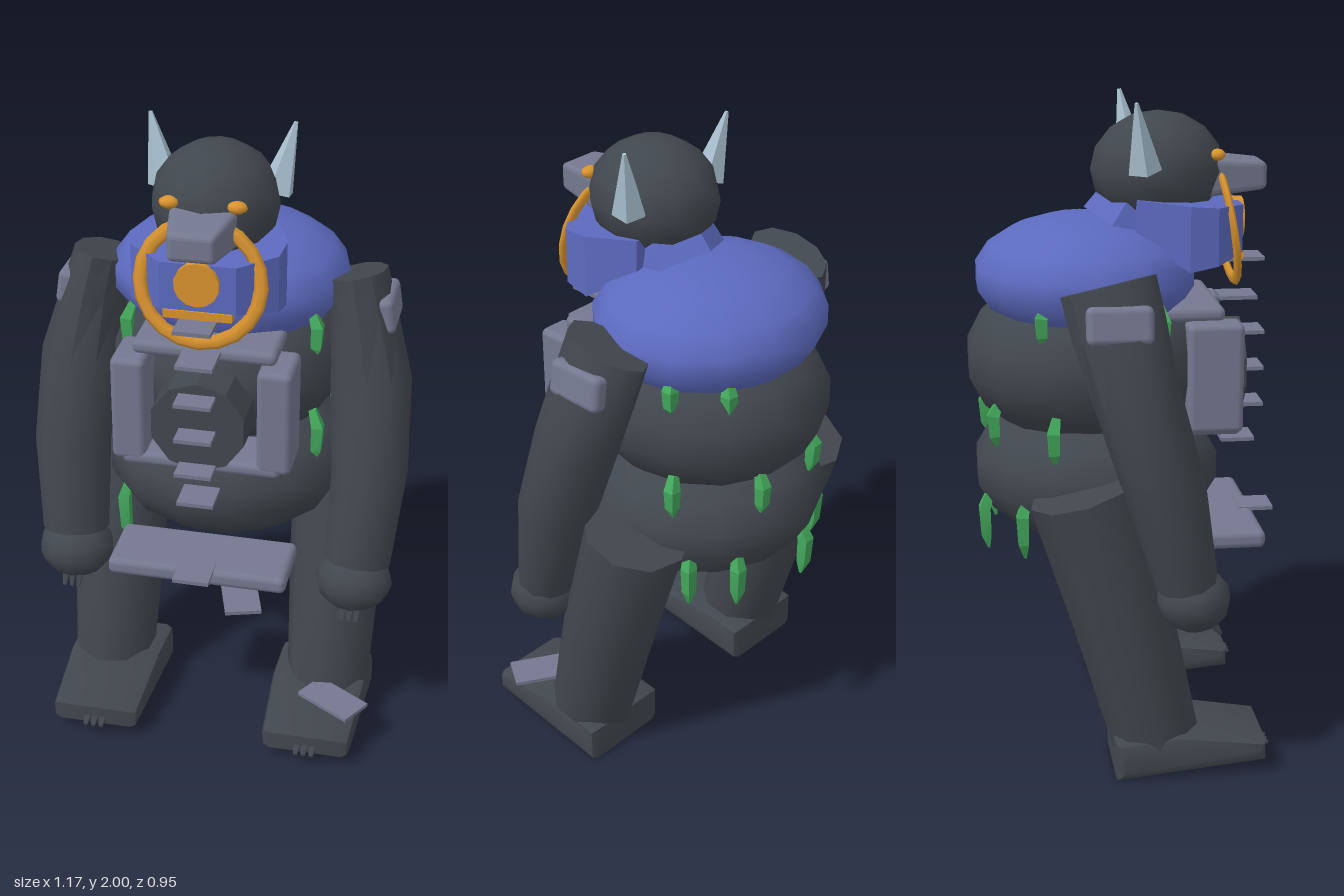
import * as THREE from 'three';
import { toCreasedNormals } from 'three/addons/utils/BufferGeometryUtils.js';
import { RoundedBoxGeometry } from 'three/addons/geometries/RoundedBoxGeometry.js';

const mat = (name, color) => {
  const m = new THREE.MeshStandardMaterial({ color });
  m.name = name;
  return m;
};

export function createModel() {
  const hide = mat('dark hide', 0x41474e);
  const blue = mat('blue cloth', 0x5c6abf);
  const steel = mat('grey armour', 0x74788f);
  const gold = mat('orange metal', 0xd9932f);
  const leaf = mat('green leaf', 0x43a85c);
  const horn = mat('pale horn', 0xa8bfce);
  const root = new THREE.Group();
  root.name = 'creature';

  const add = (name, geo, material, p = [0, 0, 0], r = [0, 0, 0]) => {
    const m = new THREE.Mesh(geo, material);
    m.name = name;
    m.position.set(...p);
    m.rotation.set(...r);
    root.add(m);
    return m;
  };
  const ball = (name, material, p, s, w = 14, h = 9) =>
    add(name, new THREE.SphereGeometry(1, w, h).scale(...s), material, p);
  const rbox = (name, material, p, s, rad = 0.02, r) =>
    add(name, new RoundedBoxGeometry(...s, 2, rad), material, p, r);
  const box = (name, material, p, s, r) =>
    add(name, new THREE.BoxGeometry(...s), material, p, r);

  // Tapered limb through [x, y, z, side radius, front-to-back radius]
  const limb = (pts, sides, crease = 0.7) => {
    const c = pts.map(p => new THREE.Vector3(p[0], p[1], p[2]));
    const pos = [], idx = [], n = pts.length;
    c.forEach((o, i) => {
      const d = c[Math.min(i + 1, n - 1)].clone().sub(c[Math.max(i - 1, 0)]).normalize();
      const u = new THREE.Vector3(1, 0, 0).addScaledVector(d, -d.x).normalize();
      const v = d.clone().cross(u);
      const [, , , ru, rv = ru] = pts[i];
      for (let k = 0; k < sides; k++) {
        const a = ((k + 0.5) / sides) * Math.PI * 2;
        const q = o.clone().addScaledVector(u, Math.cos(a) * ru).addScaledVector(v, Math.sin(a) * rv);
        pos.push(q.x, q.y, q.z);
      }
    });
    const s = n * sides, e = s + 1, last = (n - 1) * sides;
    pos.push(...c[0].toArray(), ...c[n - 1].toArray());
    for (let k = 0; k < sides; k++) {
      const j = (k + 1) % sides;
      for (let i = 0; i < n - 1; i++) {
        const a = i * sides, b = a + sides;
        idx.push(a + k, a + j, b + j, a + k, b + j, b + k);
      }
      idx.push(s, j, k, e, last + k, last + j);
    }
    const g = new THREE.BufferGeometry();
    g.setAttribute('position', new THREE.Float32BufferAttribute(pos, 3));
    g.setIndex(idx);
    return toCreasedNormals(g, crease);
  };

  // Torso
  ball('belly', hide, [0, 0.87, -0.08], [0.39, 0.24, 0.385]);
  ball('midTorso', hide, [0, 1.215, -0.1], [0.37, 0.27, 0.385]);
  ball('chest', blue, [0, 1.47, -0.113], [0.37, 0.185, 0.34]);
  add('neck', limb([[0, 1.6, 0.03, 0.16], [0, 1.74, 0.1, 0.12]], 6, 0.3), blue);

  // Head and snout
  ball('head', hide, [0, 1.785, 0.11], [0.188, 0.173, 0.203], 12, 8);
  const snout = new RoundedBoxGeometry(0.2, 0.11, 0.2, 2, 0.02);
  const sp = snout.attributes.position;
  for (let i = 0; i < sp.count; i++) {
    const t = (sp.getZ(i) + 0.1) / 0.2;
    sp.setXY(i, sp.getX(i) * (1.05 - 0.38 * t), sp.getY(i) * (1.1 - 0.35 * t));
  }
  snout.computeVertexNormals();
  add('snout', snout, steel, [0, 1.765, 0.335]);

  // Jaw block, drawn as a plan outline
  const plan = [[-0.16, 0.03], [0.16, 0.03], [0.222, 0.18], [0.215, 0.265], [0.11, 0.355], [-0.11, 0.355], [-0.215, 0.265], [-0.222, 0.18]];
  const jaw = new THREE.ExtrudeGeometry(
    new THREE.Shape(plan.map(([x, z]) => new THREE.Vector2(x, -z))), { depth: 0.17, bevelEnabled: false });
  jaw.rotateX(-Math.PI / 2);
  const jp = jaw.attributes.position;
  for (let i = 0; i < jp.count; i++) {
    const z = jp.getZ(i), low = jp.getY(i) < 0.08;
    jp.setY(i, low ? (z < 0.1 ? 1.6 : 1.505 + Math.max(0, z - 0.2) * 0.25) : 1.715 - z * 0.08);
  }
  jaw.computeVertexNormals();
  add('jaw', jaw, blue);

  // Nose ring, medallion and chin bar
  add('ring', new THREE.TorusGeometry(0.175, 0.021, 6, 20).scale(1, 1, 0.55), gold, [0, 1.615, 0.318], [-0.17, 0, 0]);
  add('medallion', new THREE.CylinderGeometry(0.066, 0.066, 0.03, 14), gold, [0, 1.63, 0.355], [Math.PI / 2, 0, 0]);
  box('chinBar', gold, [0, 1.532, 0.345], [0.2, 0.025, 0.03]);

  // Chest armour around a faceted boss
  add('boss', toCreasedNormals(new THREE.CylinderGeometry(0.145, 0.15, 0.2, 10), 0.5), hide, [0, 1.175, 0.27], [Math.PI / 2, 0, 0]);
  rbox('upperBar', steel, [0, 1.375, 0.195], [0.43, 0.045, 0.19]);
  rbox('lowerBar', steel, [0, 1.03, 0.25], [0.48, 0.045, 0.18]);
  rbox('beltPlate', steel, [0, 0.68, 0.305], [0.55, 0.055, 0.22]);

  // Thin plates down the front: [y, back z, front z]
  for (const [y, a, b] of [[1.51, 0.32, 0.435], [1.39, 0.3, 0.415], [1.28, 0.36, 0.44], [1.165, 0.36, 0.44],
    [1.05, 0.35, 0.44], [0.937, 0.31, 0.415], [0.705, 0.37, 0.48]])
    box('frontPlate', steel, [0, y, (a + b) / 2], [0.11, 0.012, b - a]);
  box('loosePlate', steel, [0.13, 0.592, 0.36], [0.11, 0.012, 0.17], [0, 0.3, 0]);
  box('footPlate', steel, [0.41, 0.155, 0.25], [0.2, 0.012, 0.11], [0, -0.55, 0]);

  // Foot profile in z and y, narrowing to the toe
  const fs = new THREE.Shape([[-0.045, 0.03], [0.365, 0.064], [0.365, 0.08], [0.12, 0.118], [-0.045, 0.1]]
    .map(p => new THREE.Vector2(...p)));
  const footGeo = new THREE.ExtrudeGeometry(fs, { depth: 0.255, bevelSize: 0.025, bevelThickness: 0.027, bevelSegments: 2 })
    .translate(0, 0, -0.1275).rotateY(-Math.PI / 2);
  const fp = footGeo.attributes.position;
  for (let i = 0; i < fp.count; i++) fp.setX(i, fp.getX(i) * (1 - 0.3 * Math.max(0, fp.getZ(i) - 0.1)));
  const foot = toCreasedNormals(footGeo, 0.6);

  for (const s of [1, -1]) {
    // Face
    ball('eye', gold, [s * 0.097, 1.834, 0.277], [0.03, 0.018, 0.024], 8, 6);
    add('horn', limb([[s * 0.165, 1.8, 0.05, 0.052], [s * 0.212, 2.0, 0.02, 0.006]], 5, 0.3), horn);

    // Armour uprights
    rbox('uprightBar', steel, [s * 0.218, 1.19, 0.255], [0.104, 0.335, 0.17]);

    // Arm
    add('arm', limb([[s * 0.392, 1.51, -0.082, 0.09, 0.14], [s * 0.419, 1.39, -0.055, 0.1, 0.138],
      [s * 0.455, 1.19, -0.005, 0.126], [s * 0.473, 0.92, 0.075, 0.119], [s * 0.456, 0.63, 0.14, 0.106, 0.095]], 10), hide);
    rbox('shoulderPad', steel, [s * 0.479, 1.415, -0.06], [0.08, 0.11, 0.19], 0.02, [0, 0, s * 0.15]);
    ball('hand', hide, [s * 0.45, 0.573, 0.162], [0.12, 0.098, 0.112], 12, 8);

    // Leg and foot
    add('leg', limb([[s * 0.365, 0.895, -0.155, 0.165], [s * 0.365, 0.5, -0.04, 0.153], [s * 0.365, 0.1, 0.06, 0.135]], 9), hide);
    add('foot', foot, hide, [s * 0.345, 0, 0]);

    // Claws
    for (const k of [-1, 0, 1]) {
      const hx = s * 0.45 + k * 0.022, fx = s * 0.345 + k * 0.025;
      add('fingerClaw', limb([[hx, 0.51, 0.21, 0.014], [hx, 0.465, 0.243, 0.006]], 5), hide);
      add('toeClaw', limb([[fx, 0.065, 0.37, 0.016], [fx, 0.047, 0.415, 0.007]], 5), hide);
    }
  }

  // Hanging leaves in three rows: [top y, length, radius x, radius z, angles in degrees]
  const rows = [
    [1.43, 0.12, 0.325, 0.32, [62, 116, 145, 238, 304]],
    [1.11, 0.14, 0.345, 0.335, [60, 118, 163, 205, 245, 304]],
    [0.84, 0.19, 0.35, 0.345, [126, 150, 195, 228, 268, 304]],
  ];
  rows.forEach(([y, len, rx, rz, angles]) => angles.forEach((deg, i) => {
    const a = deg * Math.PI / 180, sx = Math.sin(a), cz = Math.cos(a);
    const long = cz > 0 ? len * 1.25 : len;
    const at = (t, out, r) => [sx * (rx + out), y - t * long - (i % 3) * 0.012, cz * (rz + out) - 0.09, r];
    add('leaf', limb([at(0, -0.01, 0.016), at(0.3, 0.012, 0.025), at(0.75, 0.008, 0.022), at(1, 0, 0.005)], 4, 0.3), leaf);
  }));
  return root;
}
